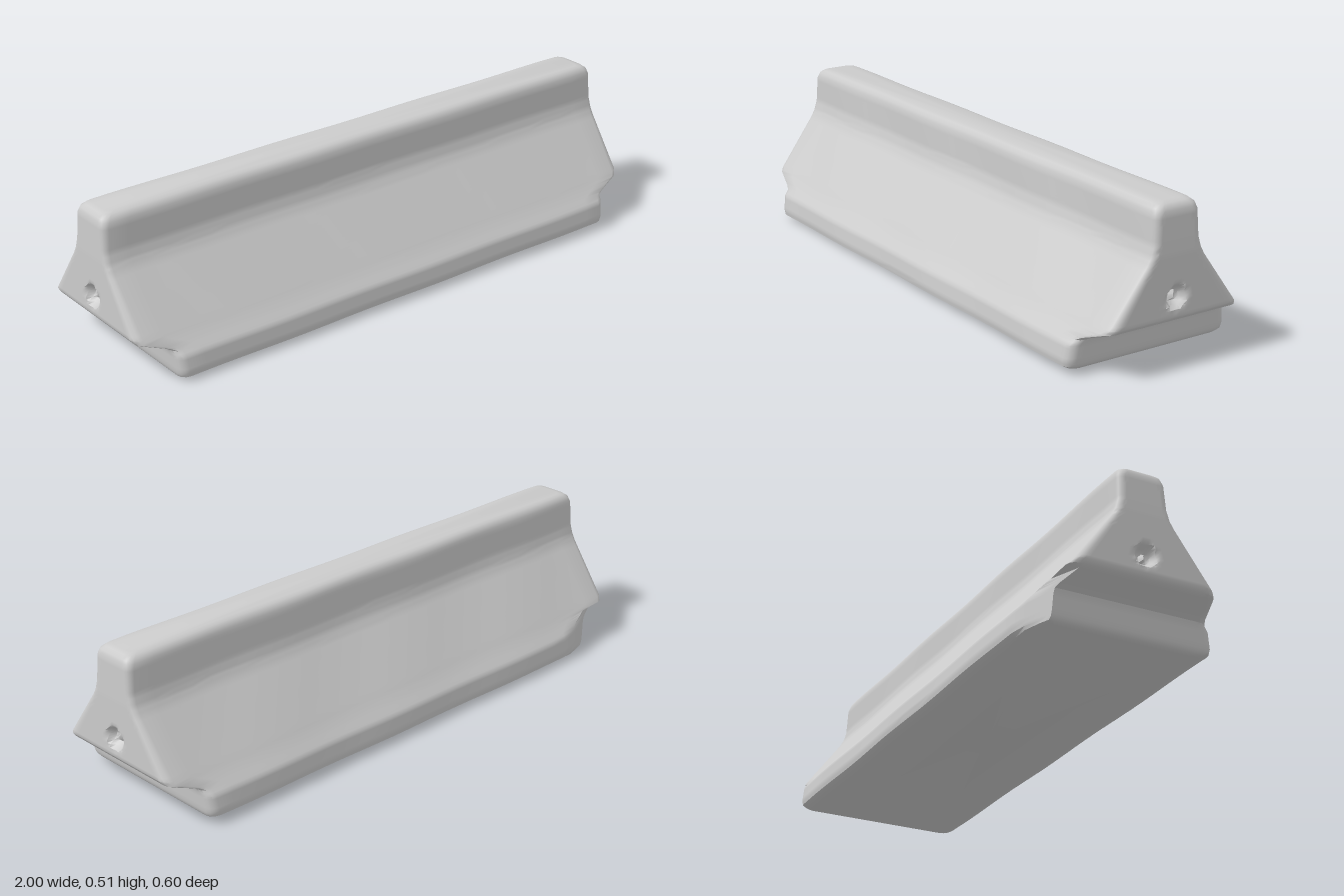
import * as THREE from 'three';
import { toCreasedNormals } from 'three/addons/utils/BufferGeometryUtils.js';

// Height, half depth, half length and corner radius from base to crown
const LEVELS = [
  [0.007, 0.255, 0.855, 0.03], [0.012, 0.28, 0.868, 0.03], [0.022, 0.295, 0.876, 0.03],
  [0.04, 0.298, 0.88, 0.03], [0.09, 0.291, 0.885, 0.03], [0.107, 0.277, 0.89, 0.03],
  [0.117, 0.268, 0.908, 0.03], [0.133, 0.255, 0.955, 0.03], [0.146, 0.245, 0.99, 0.03],
  [0.16, 0.235, 1, 0.03], [0.33, 0.108, 1, 0.02], [0.355, 0.094, 1, 0.02],
  [0.39, 0.084, 0.999, 0.02], [0.475, 0.08, 0.996, 0.022], [0.495, 0.074, 0.99, 0.025],
  [0.505, 0.063, 0.978, 0.025], [0.509, 0.05, 0.96, 0.025],
];
const LONG = 28, SHORT = 28, ARC = 3;

// Rounded rectangle, counterclockwise seen from above
function ring(d, l, c) {
  const points = [];
  const side = (x0, z0, x1, z1, n) => {
    for (let i = 0; i <= n; i++) points.push([x0 + (x1 - x0) * i / n, z0 + (z1 - z0) * i / n]);
  };
  const corner = (cx, cz, start) => {
    for (let i = 1; i < ARC; i++) {
      const a = start + Math.PI / 2 * i / ARC;
      points.push([cx + c * Math.cos(a), cz - c * Math.sin(a)]);
    }
  };
  const x = l - c, z = d - c;
  side(-x, d, x, d, LONG);
  corner(x, z, -Math.PI / 2);
  side(l, z, l, -z, SHORT);
  corner(x, -z, 0);
  side(x, -d, -x, -d, LONG);
  corner(-x, -z, Math.PI / 2);
  side(-l, -z, -l, z, SHORT);
  corner(-x, z, Math.PI);
  return points;
}

// Worn corner, end sockets, faint waves and slight lean along the length
function weather(x, y, z) {
  if (z < 0 && y < 0.14) z = Math.max(z, -0.298 + Math.max(0, -x - 0.75) * 0.4);
  const r = Math.hypot(z, y - 0.22);
  if (Math.abs(x) > 0.98 && r < 0.04) {
    const depth = r < 0.012 ? 0.018 : 0.03 * Math.min(1, (0.04 - r) / 0.018);
    x -= Math.sign(x) * depth;
  }
  if (Math.abs(x) < 0.95) z += Math.sign(z) * 0.002 * Math.sin(x * 11 + y * 9);
  return [x, y + 0.007 * x, z];
}

function bodyGeometry() {
  // Extra rows keep the end sockets round
  const rows = [LEVELS[0]];
  for (let i = 1; i < LEVELS.length; i++) {
    const a = LEVELS[i - 1], b = LEVELS[i], n = Math.ceil((b[0] - a[0]) / 0.011);
    for (let k = 1; k <= n; k++) rows.push(a.map((v, j) => v + (b[j] - v) * k / n));
  }
  const positions = [], index = [];
  let count = 0;
  for (const [y, d, l, c] of rows) {
    const points = ring(d, l, c);
    count = points.length;
    for (const [x, z] of points) positions.push(...weather(x, y, z));
  }
  for (let r = 0; r < rows.length - 1; r++) {
    for (let i = 0; i < count; i++) {
      const a = r * count + i, b = r * count + (i + 1) % count;
      index.push(a, b, b + count, a, b + count, a + count);
    }
  }
  // Flat base and crown
  const last = (rows.length - 1) * count, base = rows.length * count;
  positions.push(0, rows[0][0], 0, 0, rows[rows.length - 1][0], 0);
  for (let i = 0; i < count; i++) {
    const j = (i + 1) % count;
    index.push(j, i, base, last + i, last + j, base + 1);
  }
  const geometry = new THREE.BufferGeometry();
  geometry.setAttribute('position', new THREE.Float32BufferAttribute(positions, 3));
  geometry.setIndex(index);
  return toCreasedNormals(geometry, 0.75);
}

export function createModel() {
  const group = new THREE.Group();
  group.name = 'concreteBarrier';
  const body = new THREE.Mesh(bodyGeometry(), new THREE.MeshStandardMaterial({ color: 0xcccccc }));
  body.name = 'barrierBody';
  group.add(body);
  return group;
}
